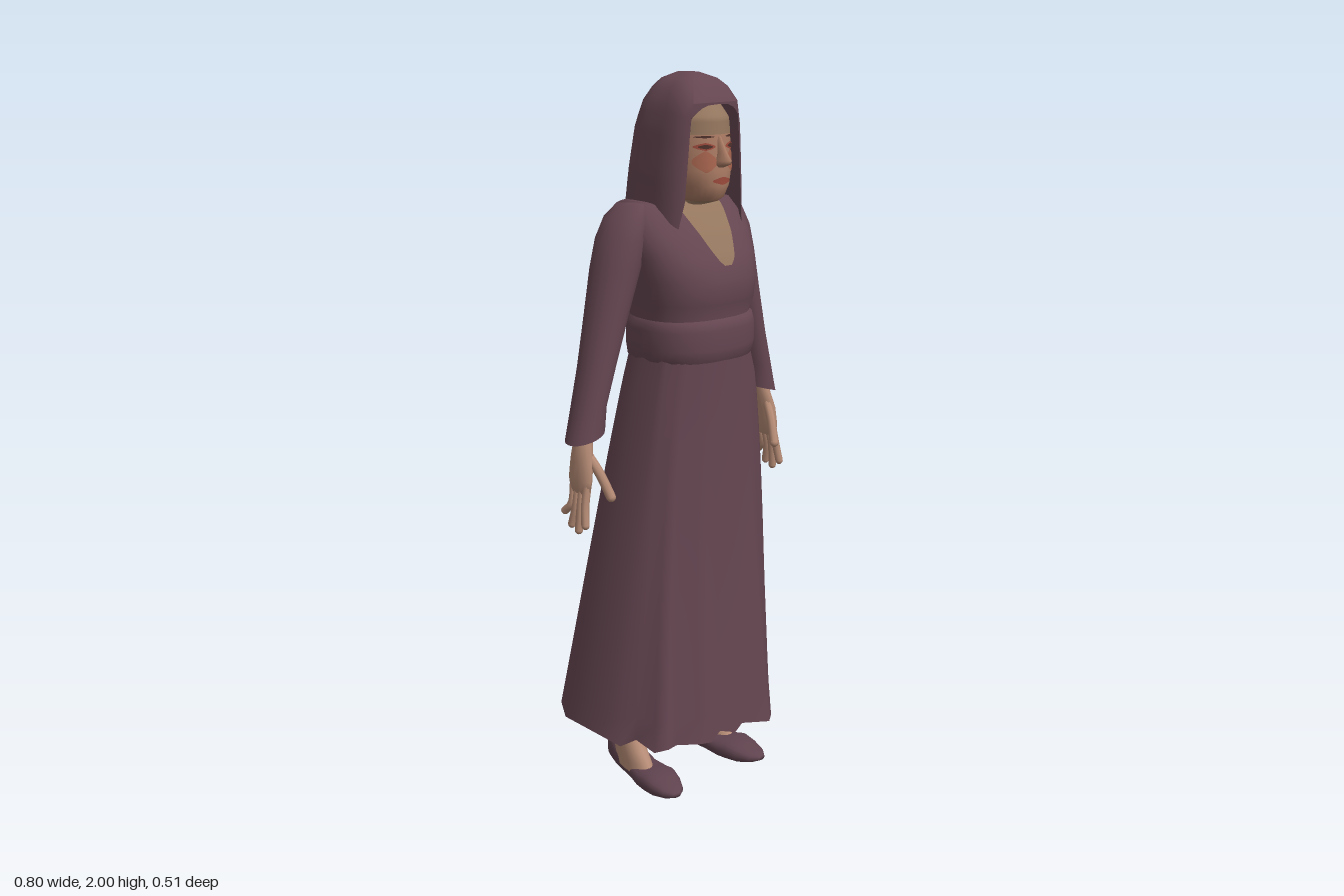
import * as THREE from 'three';

const mat = (name, color, side = THREE.FrontSide) => {
  const m = new THREE.MeshStandardMaterial({ color, side });
  m.name = name;
  return m;
};

// Skin a stack of point rings; caps are fans to the ring centre
function loft(rings, { closed = true, capStart = false, capEnd = false } = {}) {
  const n = rings[0].length, pos = rings.flat(2), idx = [];
  const cols = closed ? n : n - 1;
  for (let i = 0; i < rings.length - 1; i++) {
    for (let j = 0; j < cols; j++) {
      const k = (j + 1) % n, a = i * n + j, b = i * n + k;
      idx.push(a, b, b + n, a, b + n, a + n);
    }
  }
  const cap = (r, flip) => {
    const c = pos.length / 3;
    for (let d = 0; d < 3; d++) pos.push(rings[r].reduce((s, p) => s + p[d], 0) / n);
    for (let j = 0; j < n; j++) {
      const a = r * n + j, b = r * n + (j + 1) % n;
      idx.push(...(flip ? [c, b, a] : [c, a, b]));
    }
  };
  if (capStart) cap(0, true);
  if (capEnd) cap(rings.length - 1, false);
  const g = new THREE.BufferGeometry();
  g.setAttribute('position', new THREE.Float32BufferAttribute(pos, 3));
  g.setIndex(idx);
  g.computeVertexNormals();
  return g;
}

const spow = (v, e) => Math.sign(v) * Math.abs(v) ** e;

// Point of a superellipse section given as [y, half width, z front, z back]
function sectionPoint([y, rx, zf, zb], a, cx = 0, p = 2) {
  return [cx + rx * spow(Math.sin(a), 2 / p), y, (zf + zb) / 2 + (zf - zb) / 2 * spow(Math.cos(a), 2 / p)];
}
const body = (table, cx = 0, p = 2, n = 32, caps = {}) => loft(
  table.map(s => Array.from({ length: n }, (_, i) => sectionPoint(s, i / n * Math.PI * 2, cx, p))), caps);

// Section of a table at any height
function sectionAt(table, y) {
  let i = 0;
  while (i < table.length - 2 && y > table[i + 1][0]) i++;
  const a = table[i], b = table[i + 1];
  const t = THREE.MathUtils.clamp((y - a[0]) / (b[0] - a[0]), 0, 1);
  return a.map((v, k) => v + (b[k] - v) * t);
}

// Thin plate lying on the front of a body; halfWidth(t) shapes it from bottom to top
function plate(table, cx, p, x, y0, y1, halfWidth, lift = 0.004) {
  const rings = [];
  for (let i = 0; i <= 12; i++) {
    const y = y0 + (y1 - y0) * i / 12, [, rx, zf, zb] = sectionAt(table, y), row = [];
    for (let j = -5; j <= 5; j++) {
      const px = x + halfWidth(i / 12) * j / 5;
      const q = Math.min(1, Math.abs((px - cx) / rx));
      row.push([px, y, (zf + zb) / 2 + (zf - zb) / 2 * (1 - q ** p) ** (1 / p) + lift]);
    }
    rings.push(row);
  }
  return loft(rings, { closed: false });
}

export function createModel() {
  const cloth = mat('plum cloth', 0x654651, THREE.DoubleSide);
  const shoeMat = mat('shoe plum', 0x5f434e);
  const skin = mat('skin', 0xb58b75);
  const chestSkin = mat('shaded skin', 0x94765e);
  const faceSkin = mat('face skin', 0xa97a63);
  const blush = mat('blush', 0xa8654f);
  const lipMat = mat('lips', 0x9c4a3c);
  const dark = mat('eye brown', 0x4e302a);

  const model = new THREE.Group();
  const add = (name, geo, material, parent = model) => {
    const m = new THREE.Mesh(geo, material);
    m.name = name;
    parent.add(m);
    return m;
  };

  // Skirt: waist ellipse blended into a folded hem outline (x, z)
  const hem = [[0, .24], [.04, .225], [.12, .253], [.14, .24], [.2, .17], [.245, .11], [.27, 0], [.265, -.13],
    [.225, -.2], [.185, -.255], [.13, -.235], [.01, -.256], [-.2, -.23], [-.31, -.16], [-.34, -.1], [-.335, 0],
    [-.31, .11], [-.262, .12], [-.255, .19], [-.22, .21], [-.18, .195], [-.13, .24], [-.09, .24], [-.04, .22]];
  const waist = [1.28, .164, .188, -.102];
  const skirtRings = [];
  for (let i = 0; i <= 14; i++) {
    const s = 1 - i / 14;
    skirtRings.push(hem.map(([x, z], j) => {
      const w = sectionPoint(waist, Math.atan2(x / .3, z / .25), 0, 2.3);
      const fold = .008 * (j % 2) * s ** 4;
      const y = 1.28 + (.222 - z * .09 + fold - 1.28) * s;
      const tx = s ** (x > 0 ? .55 : .85);
      return [w[0] + (x - w[0]) * tx, y, w[2] + (z - w[2]) * (z > 0 ? s ** 1.9 : s ** 1.1)];
    }));
  }
  add('skirt', loft(skirtRings), cloth);

  // Bodice, neckline and sash
  const bodice = [[1.26, .155, .18, -.1], [1.38, .16, .18, -.1], [1.42, .168, .193, -.1], [1.48, .175, .2, -.11],
    [1.54, .185, .175, -.115], [1.6, .195, .135, -.12], [1.65, .188, .09, -.115], [1.672, .172, .065, -.105],
    [1.682, .06, .05, -.07]];
  add('bodice', body(bodice, 0, 2.4, 40), cloth);
  add('neckline', plate(bodice, 0, 2.4, .003, 1.52, 1.675, t => .012 + .066 * t ** .65, .007), chestSkin);
  add('sash', body([[1.258, .155, .175, -.1], [1.268, .166, .188, -.108], [1.3, .172, .193, -.11],
    [1.35, .171, .193, -.11], [1.375, .165, .188, -.106], [1.385, .15, .17, -.095]], .002, 2.4, 40), cloth);

  // Head and neck
  const headX = .008;
  const head = [[1.56, .055, .06, -.06], [1.66, .055, .06, -.06], [1.678, .045, .13, -.05], [1.69, .058, .148, -.06],
    [1.72, .076, .157, -.07], [1.76, .09, .157, -.08], [1.83, .096, .148, -.085], [1.89, .09, .142, -.08],
    [1.93, .068, .11, -.06], [1.96, .02, .05, -.02]];
  add('neck', body(head.slice(0, 3), headX, 2, 24), chestSkin);
  add('head', body(head.slice(2), headX, 2, 32, { capStart: true, capEnd: true }), faceSkin);
  add('forehead', plate(head, headX, 2, headX, 1.85, 1.925, t => .086 - .025 * t, .002), chestSkin);
  add('nose', body([[1.768, .012, .162, .12], [1.776, .018, .184, .12], [1.786, .016, .19, .12],
    [1.805, .01, .175, .12], [1.845, .007, .15, .12]], headX, 2, 16, { capStart: true, capEnd: true }), faceSkin);
  const oval = w => t => w * Math.sin(Math.PI * (.02 + .96 * t));
  add('lips', plate(head, headX, 2, headX, 1.724, 1.744, oval(.029), .005), lipMat);
  for (const s of [-1, 1]) {
    const x = headX + s * .042;
    add('cheek', plate(head, headX, 2, x, 1.755, 1.81, oval(.027), .002), blush);
    add('eyelid', plate(head, headX, 2, x, 1.811, 1.83, oval(.025), .003), lipMat);
    add('eye', plate(head, headX, 2, x, 1.815, 1.826, oval(.017), .005), dark);
    add('brow', plate(head, headX, 2, x, 1.842, 1.848, oval(.024), .004), dark);
  }

  // Veil: a closed crown with columns that fall to an uneven hem, open at the face
  const veil = [[1.43, .14, .13, -.138], [1.6, .138, .135, -.137], [1.75, .13, .137, -.118], [1.87, .117, .14, -.1],
    [1.93, .102, .14, -.08], [1.965, .084, .118, -.062], [1.985, .06, .095, -.045], [2, .022, .05, -.01]];
  const open = .62;
  const hemY = [[open, 1.68], [.85, 1.57], [1.15, 1.64], [1.57, 1.67], [2, 1.59], [2.4, 1.44], [2.8, 1.56], [3.15, 1.58]];
  const hemHeight = a => {
    const y = sectionAt(hemY, Math.abs(a))[1];
    return a < -1.6 ? y + .11 * Math.min(1, (-a - 1.6) * 2) * Math.min(1, (Math.PI + a) * 2) : y;
  };
  const columns = [];
  for (let i = 0; i <= 36; i++) {
    const a = open + (Math.PI * 2 - 2 * open) * i / 36, w = a > Math.PI ? a - Math.PI * 2 : a;
    columns.push([a, hemHeight(w)]);
  }
  for (let i = 0; i <= 8; i++) {
    const u = i / 4 - 1;
    columns.push([u * open, 1.925 - .035 * u * u]);
  }
  const veilRings = [];
  for (let i = 0; i <= 10; i++) {
    veilRings.push(columns.map(([a, h]) => sectionPoint(sectionAt(veil, h + (1.93 - h) * i / 10), a, .01, 3.4)));
  }
  for (const s of veil.slice(5)) veilRings.push(columns.map(([a]) => sectionPoint(s, a, .012, 3)));
  add('veil', loft(veilRings, { capEnd: true }), cloth);

  // Small bare patches at the crown
  const patch = add('crownPatch', new THREE.CircleGeometry(.024, 7), chestSkin);
  patch.position.set(-.014, 1.996, -.032);
  patch.rotation.x = -Math.PI / 2 - .4;
  const strip = add('crownStrip', new THREE.CircleGeometry(.02, 7), chestSkin);
  strip.position.set(.093, 1.972, -.03);
  strip.rotation.set(-Math.PI / 2, .85, 0);
  strip.scale.x = .5;

  // Arms: sleeve rings as [x, y, rx, rz], swung a little differently per side
  const sleeve = [[.345, 1.09, .053, .052], [.33, 1.16, .047, .052], [.295, 1.27, .049, .056], [.255, 1.4, .058, .063],
    [.218, 1.52, .066, .072], [.197, 1.59, .064, .075], [.178, 1.645, .05, .066], [.162, 1.674, .024, .048]];
  const tube = (pts, r) => new THREE.TubeGeometry(
    new THREE.CatmullRomCurve3(pts.map(p => new THREE.Vector3(...p))), 8, r, 8);
  for (const s of [-1, 1]) {
    const arm = new THREE.Group();
    arm.name = s > 0 ? 'leftArm' : 'rightArm';
    model.add(arm);
    const zAt = y => (s > 0 ? -.036 : -.008) + (s > 0 ? -.014 : .03) * (1.67 - y) / .58;
    add('sleeve', loft(sleeve.map(([x, y, rx, rz]) => Array.from({ length: 20 }, (_, i) => {
      const a = i / 20 * Math.PI * 2, dx = rx * Math.sin(a);
      return [s * x + dx, y - s * dx * (y < 1.2 ? .3 : .1), zAt(y) + rz * Math.cos(a)];
    })), { capEnd: true }), cloth, arm);

    // Hand: palm with four fingers and a forward thumb
    const hand = new THREE.Group();
    hand.name = 'hand';
    hand.position.set(s * .358, 1.1, zAt(1.09));
    arm.add(hand);
    const palm = [[.014, -.155, .013, .038, .012], [.012, -.12, .019, .044, .011], [.006, -.07, .021, .041, .01],
      [-.004, -.02, .023, .03, .004], [-.022, .04, .022, .027, 0]];
    add('palm', loft(palm.map(([x, y, rx, rz, z]) => Array.from({ length: 14 }, (_, i) => {
      const a = i / 14 * Math.PI * 2;
      return [s * x + rx * Math.sin(a), y, z + rz * Math.cos(a)];
    })), { capStart: true }), skin, hand);
    for (let f = 0; f < 4; f++) {
      const z = .04 - f * .019, drop = [.235, .255, .245, .215][f];
      const tip = [s * .03, -drop, z + .012 - f * .01];
      add('finger', tube([[s * .012, -.13, z], [s * .024, -.19, z + .004], tip], .011), skin, hand);
      add('fingertip', new THREE.SphereGeometry(.011, 8, 6), skin, hand).position.set(...tip);
    }
    const thumbTip = [s * -.028, -.16, .088];
    add('thumb', tube([[0, -.05, .025], [s * -.014, -.1, .06], thumbTip], .013), skin, hand);
    add('thumbTip', new THREE.SphereGeometry(.013, 8, 6), skin, hand).position.set(...thumbTip);
  }

  // Legs and slip-on shoes, toes turned out; shoe rings are [z, half width, bottom, top]
  const leg = [[.04, .036, .07, -.12], [.07, .035, .05, -.122], [.1, .034, .02, -.122], [.13, .033, -.01, -.12],
    [.17, .033, -.025, -.118], [.24, .038, -.035, -.13], [.4, .05, -.02, -.13], [.6, .055, -.01, -.13]];
  const shoe = [[-.155, .02, .035, .085], [-.14, .037, .014, .1], [-.09, .045, .008, .086], [0, .047, .008, .064],
    [.05, .056, .008, .064], [.08, .057, .008, .072], [.12, .05, .01, .064], [.16, .034, .02, .052], [.182, .012, .03, .044]];
  for (const s of [-1, 1]) {
    const g = new THREE.Group();
    g.name = s > 0 ? 'leftLeg' : 'rightLeg';
    g.position.x = s * .139;
    g.rotation.y = s * .14;
    model.add(g);
    add('leg', body(leg, s * .012, 2, 20, { capEnd: true }), skin, g);
    add('shoe', loft(shoe.map(([z, w, y0, y1]) => Array.from({ length: 20 }, (_, i) => {
      const a = i / 20 * Math.PI * 2;
      return [w * spow(Math.cos(a), .8), (y0 + y1) / 2 + (y1 - y0) / 2 * spow(Math.sin(a), .8), z];
    })), { capStart: true, capEnd: true }), shoeMat, g);
  }
  return model;
}
